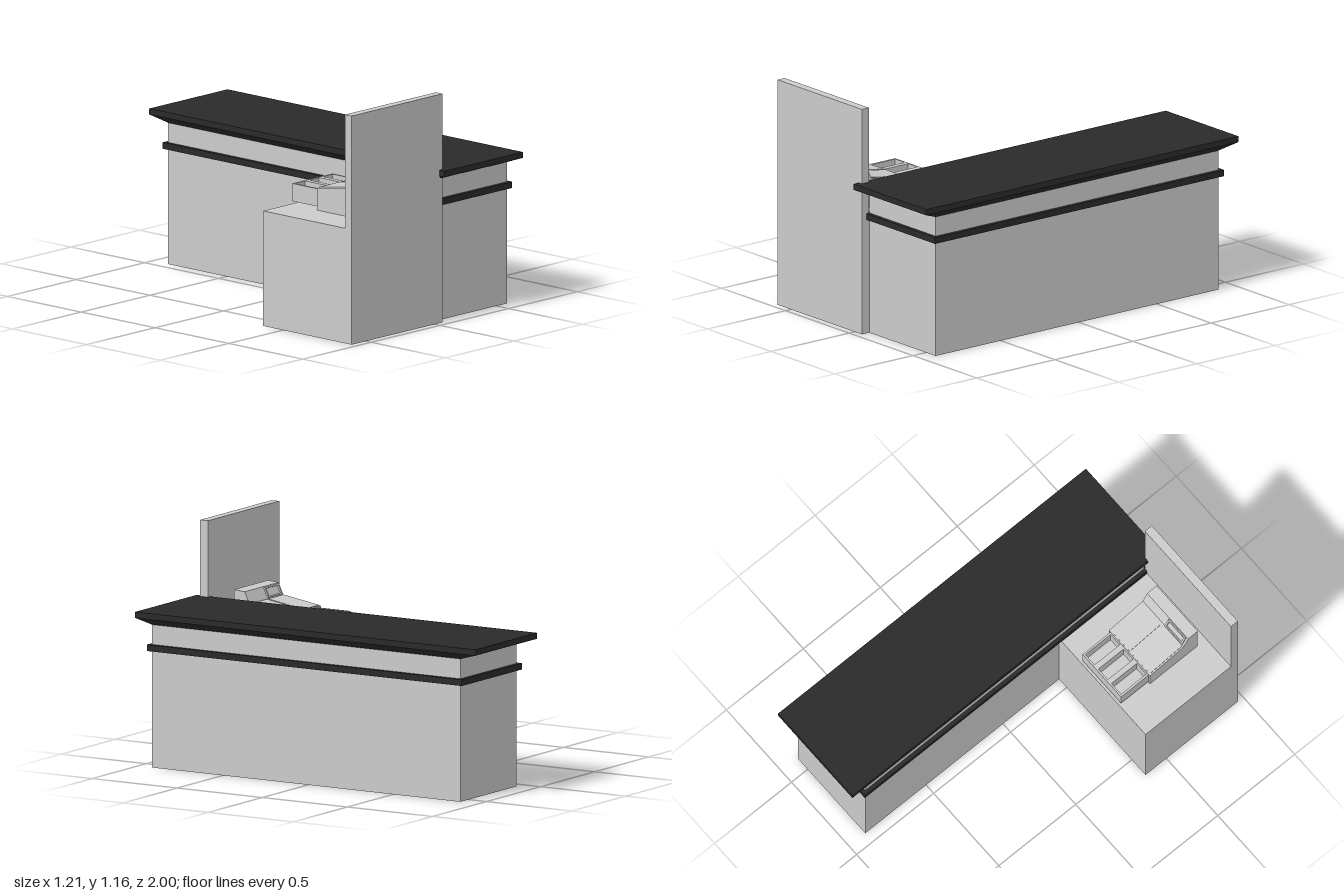
import * as THREE from 'three';

const grey = new THREE.MeshStandardMaterial({ color: 0xcccccc, flatShading: true });
const black = new THREE.MeshStandardMaterial({ color: 0x2a2a2a, flatShading: true });

// Box given by its min and max on each axis
function block(parent, name, [x0, x1], [y0, y1], [z0, z1], material = grey) {
  const mesh = new THREE.Mesh(new THREE.BoxGeometry(x1 - x0, y1 - y0, z1 - z0), material);
  mesh.position.set((x0 + x1) / 2, (y0 + y1) / 2, (z0 + z1) / 2);
  mesh.name = name;
  parent.add(mesh);
  return mesh;
}

function rectangle(target, x0, x1, y0, y1) {
  target.moveTo(x0, y0);
  target.lineTo(x1, y0);
  target.lineTo(x1, y1);
  target.lineTo(x0, y1);
  target.closePath();
  return target;
}

// Underside of the worktop, tapering in to the counter body
function taper(parent, top, bottom, y0, y1) {
  const geometry = new THREE.BoxGeometry(1, 1, 1);
  const p = geometry.attributes.position;
  for (let i = 0; i < p.count; i++) {
    const r = p.getY(i) > 0 ? top : bottom;
    p.setXYZ(i, p.getX(i) < 0 ? r[0] : r[1], p.getY(i) > 0 ? y1 : y0, p.getZ(i) < 0 ? r[2] : r[3]);
  }
  geometry.computeVertexNormals();
  const mesh = new THREE.Mesh(geometry, black);
  mesh.name = 'worktopTaper';
  parent.add(mesh);
}

function createRegister() {
  const register = new THREE.Group();
  register.name = 'cashRegister';

  // Wedge body: side profile as (z, y), extruded across x
  const profile = new THREE.Shape([
    [0.555, 0.587], [0.865, 0.587], [0.865, 0.8], [0.803, 0.795], [0.775, 0.735], [0.555, 0.7],
  ].map(([z, y]) => new THREE.Vector2(-z, y)));
  const body = new THREE.Mesh(
    new THREE.ExtrudeGeometry(profile, { depth: 0.315, bevelEnabled: false }), grey);
  body.rotation.y = Math.PI / 2;
  body.position.x = -0.415;
  body.name = 'registerBody';
  register.add(body);

  // Two key panels lying on the slope
  for (const x of [-0.335, -0.18]) {
    const pad = block(register, 'keyPanel', [x - 0.072, x + 0.072], [0.716, 0.722], [0.56, 0.77]);
    pad.rotation.x = -Math.atan2(0.035, 0.22);
  }

  // Framed display on the steep face
  const display = new THREE.Group();
  display.name = 'display';
  display.position.set(-0.337, 0.765, 0.789);
  display.rotation.x = -Math.atan2(0.06, 0.028);
  const frame = rectangle(new THREE.Shape(), -0.066, 0.066, -0.028, 0.028);
  frame.holes.push(rectangle(new THREE.Path(), -0.056, 0.056, -0.02, 0.02));
  const rim = new THREE.Mesh(new THREE.ExtrudeGeometry(frame, { depth: 0.008, bevelEnabled: false }), grey);
  rim.rotation.x = -Math.PI / 2;
  rim.name = 'displayFrame';
  display.add(rim);
  register.add(display);

  // Open drawer with three wells
  const tray = rectangle(new THREE.Shape(), -0.405, -0.11, -0.56, -0.375);
  for (const [x0, x1] of [[-0.393, -0.32], [-0.292, -0.22], [-0.19, -0.12]]) {
    tray.holes.push(rectangle(new THREE.Path(), x0, x1, -0.548, -0.385));
  }
  const drawer = new THREE.Mesh(new THREE.ExtrudeGeometry(tray, { depth: 0.08, bevelEnabled: false }), grey);
  drawer.rotation.x = -Math.PI / 2;
  drawer.position.y = 0.613;
  drawer.name = 'drawerWalls';
  register.add(drawer);
  block(register, 'drawerFloor', [-0.405, -0.11], [0.603, 0.62], [0.375, 0.56]);
  return register;
}

export function createModel() {
  const model = new THREE.Group();
  model.name = 'checkoutCounter';

  // Main counter
  block(model, 'counterBody', [0.058, 0.576], [0, 0.72], [-0.895, 0.917]);
  block(model, 'trimBand', [0.038, 0.595], [0.588, 0.62], [-0.915, 0.936], black);
  taper(model, [0.033, 0.603, -1, 1], [0.058, 0.576, -0.895, 0.917], 0.72, 0.75);
  block(model, 'worktop', [0.033, 0.603], [0.75, 0.78], [-1, 1], black);

  // Side desk and tall screen
  block(model, 'sideDesk', [-0.605, 0.058], [0, 0.586], [0.365, 0.92]);
  block(model, 'screenPanel', [-0.605, 0.056], [0, 1.165], [0.92, 0.965]);

  model.add(createRegister());
  return model;
}
